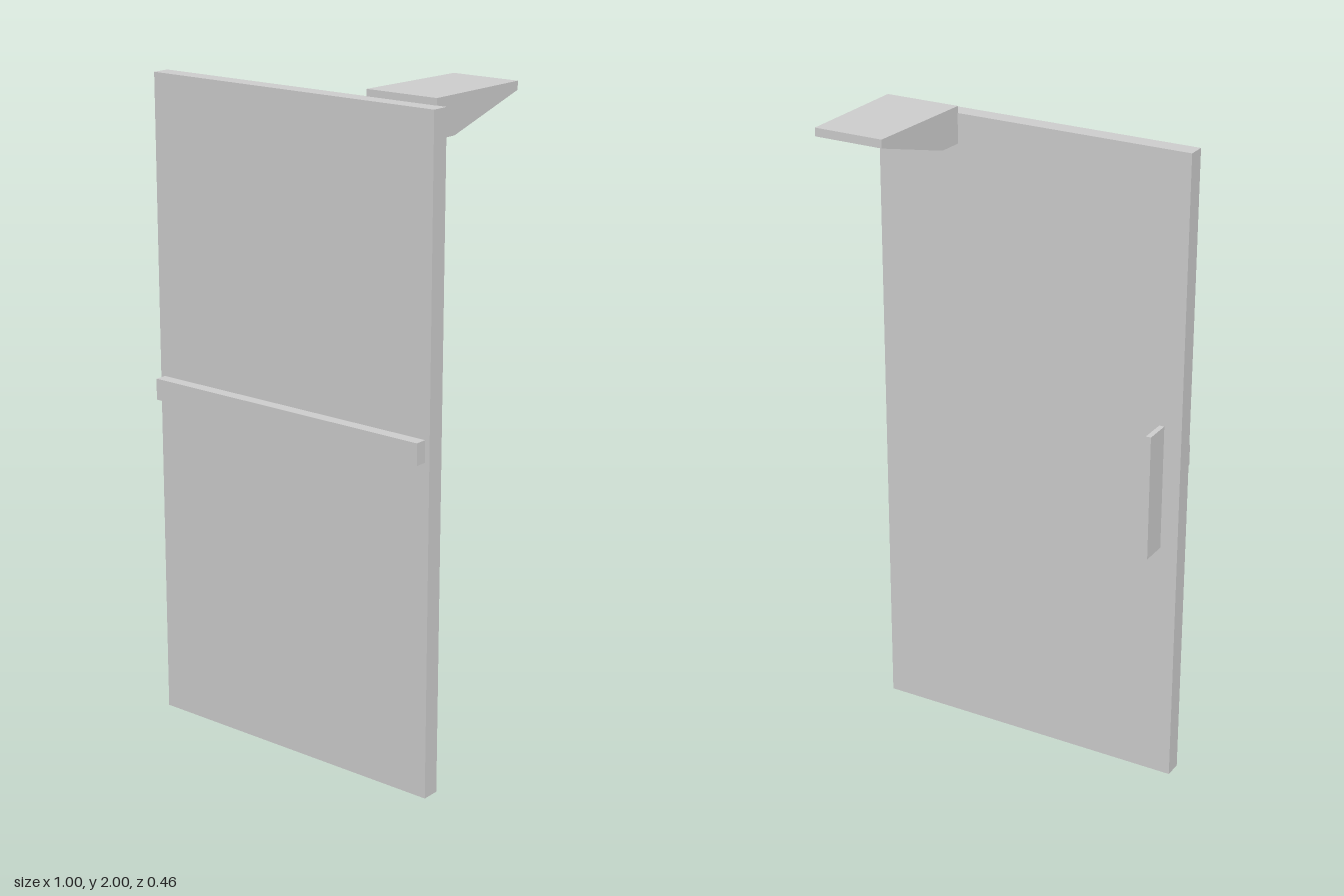
import * as THREE from 'three';

const material = new THREE.MeshStandardMaterial({ color: 0xcccccc, flatShading: true });

// Box given by its minimum and maximum corners
function box(name, [x0, y0, z0], [x1, y1, z1]) {
  const geometry = new THREE.BoxGeometry(x1 - x0, y1 - y0, z1 - z0);
  geometry.translate((x0 + x1) / 2, (y0 + y1) / 2, (z0 + z1) / 2);
  const mesh = new THREE.Mesh(geometry, material);
  mesh.name = name;
  return mesh;
}

// Wedge-shaped top bracket: side profile extruded along x, inner side tapering to the back
function topBracket() {
  const front = 0.14, back = -0.23, outer = 0.469;
  const profile = [[front, 1.89], [0.06, 1.89], [back, 1.975], [back, 2], [front, 2]];
  const shape = new THREE.Shape(profile.map(([z, y]) => new THREE.Vector2(-z, y)));
  const geometry = new THREE.ExtrudeGeometry(shape, { depth: 1, bevelEnabled: false });
  geometry.rotateY(Math.PI / 2);

  const p = geometry.attributes.position;
  for (let i = 0; i < p.count; i++) {
    const t = (front - p.getZ(i)) / (front - back);
    const inner = THREE.MathUtils.lerp(0.234, 0.252, t);
    p.setX(i, THREE.MathUtils.lerp(inner, outer, p.getX(i)));
  }
  geometry.computeVertexNormals();

  const mesh = new THREE.Mesh(geometry, material);
  mesh.name = 'topBracket';
  return mesh;
}

export function createModel() {
  const group = new THREE.Group();
  group.name = 'door';
  group.add(
    box('doorPanel', [-0.5, 0, 0.138], [0.5, 1.98, 0.193]),
    box('frontRail', [-0.485, 1.01, 0.193], [0.485, 1.075, 0.23]),
    box('backHandle', [-0.445, 0.77, 0.053], [-0.429, 1.16, 0.138]),
    topBracket()
  );
  return group;
}
